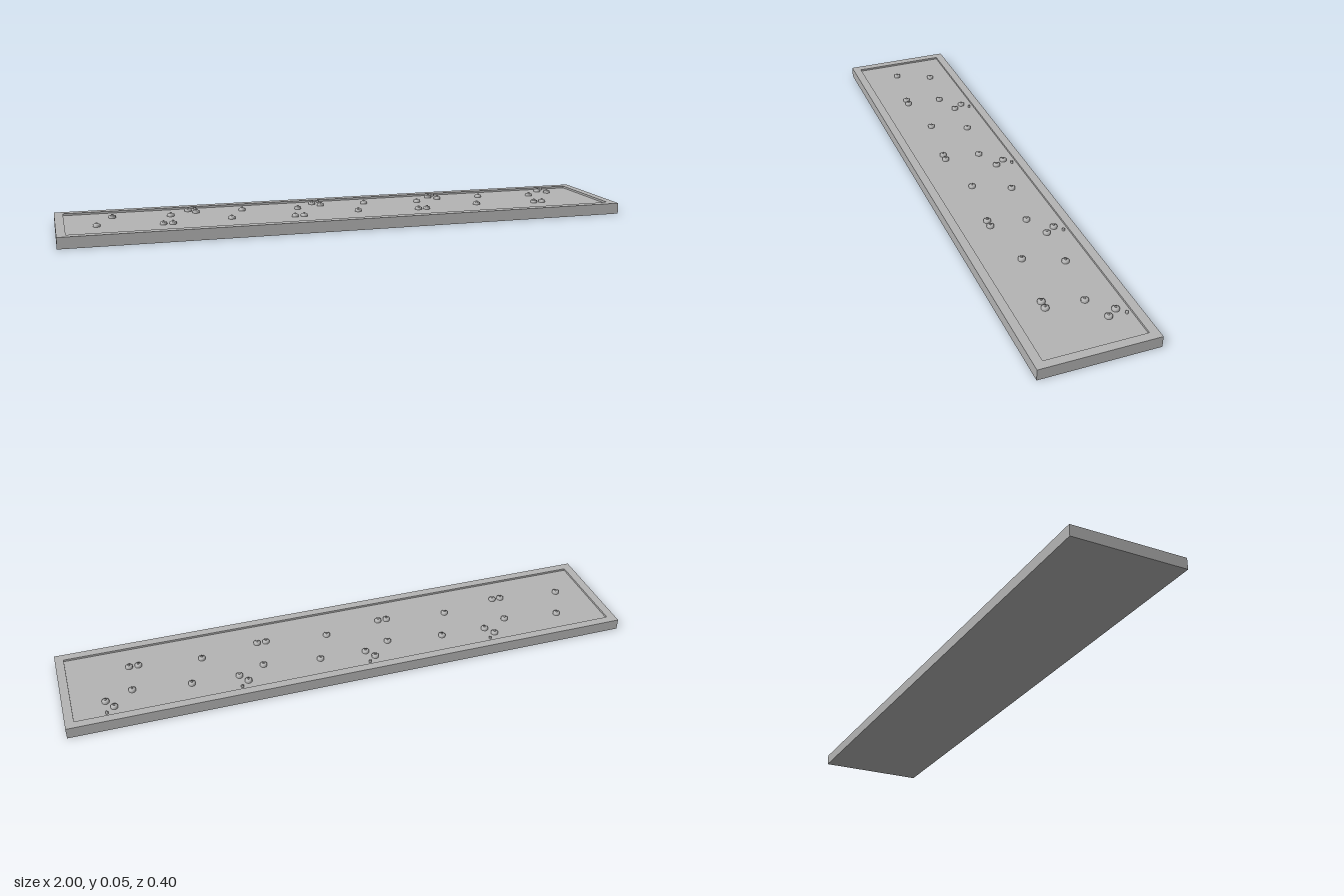
import * as THREE from 'three';

const LENGTH = 2, WIDTH = 0.4, HEIGHT = 0.039, FLOOR = 0.032, RIM = 0.03;
const REPEATS = 4, STEP = 0.457;

// Stud positions [x, z] within the first section
const STUDS = [
  [-0.866, 0.04], [-0.806, -0.087], [-0.647, 0.067], [-0.615, 0.068],
  [-0.607, -0.06], [-0.537, -0.129], [-0.513, -0.094],
];
const PIN = [-0.51, -0.153];

function lathe(points, segments) {
  return new THREE.LatheGeometry(points.map(([r, y]) => new THREE.Vector2(r, y)), segments);
}

function rectangle(target, w, h) {
  target.moveTo(-w / 2, -h / 2);
  target.lineTo(w / 2, -h / 2);
  target.lineTo(w / 2, h / 2);
  target.lineTo(-w / 2, h / 2);
  target.closePath();
  return target;
}

export function createModel() {
  const model = new THREE.Group();
  model.name = 'studdedTray';
  const grey = new THREE.MeshStandardMaterial({ color: 0xb4b4b4 });
  grey.name = 'grey';

  const add = (name, geometry, x = 0, y = 0, z = 0) => {
    const mesh = new THREE.Mesh(geometry, grey);
    mesh.name = name;
    mesh.position.set(x, y, z);
    model.add(mesh);
    return mesh;
  };

  // Raised border
  const frame = rectangle(new THREE.Shape(), LENGTH, WIDTH);
  frame.holes.push(rectangle(new THREE.Path(), LENGTH - 2 * RIM, WIDTH - 2 * RIM));
  const rim = new THREE.ExtrudeGeometry(frame, { depth: HEIGHT, bevelEnabled: false });
  rim.rotateX(-Math.PI / 2);
  add('rim', rim);

  // Recessed panel
  add('panel', new THREE.BoxGeometry(LENGTH - 2 * RIM, FLOOR, WIDTH - 2 * RIM), 0, FLOOR / 2, 0);

  // Low studs with a small knob, and one tiny pin per section
  const cap = lathe([[0.0125, FLOOR], [0.0125, 0.0395], [0.009, 0.0412], [0.004, 0.0425], [0, 0.0427]], 12);
  const knob = lathe([[0.004, 0.042], [0.004, 0.0445], [0.0025, 0.0457], [0, 0.046]], 8);
  const pin = lathe([[0.005, FLOOR], [0.005, 0.0395], [0.003, 0.041], [0, 0.0413]], 8);

  for (let i = 0; i < REPEATS; i++) {
    const shift = i * STEP;
    for (const [x, z] of STUDS) {
      add('studCap', cap, x + shift, 0, z);
      add('studKnob', knob, x + shift, 0, z);
    }
    add('pin', pin, PIN[0] + shift, 0, PIN[1]);
  }
  return model;
}
